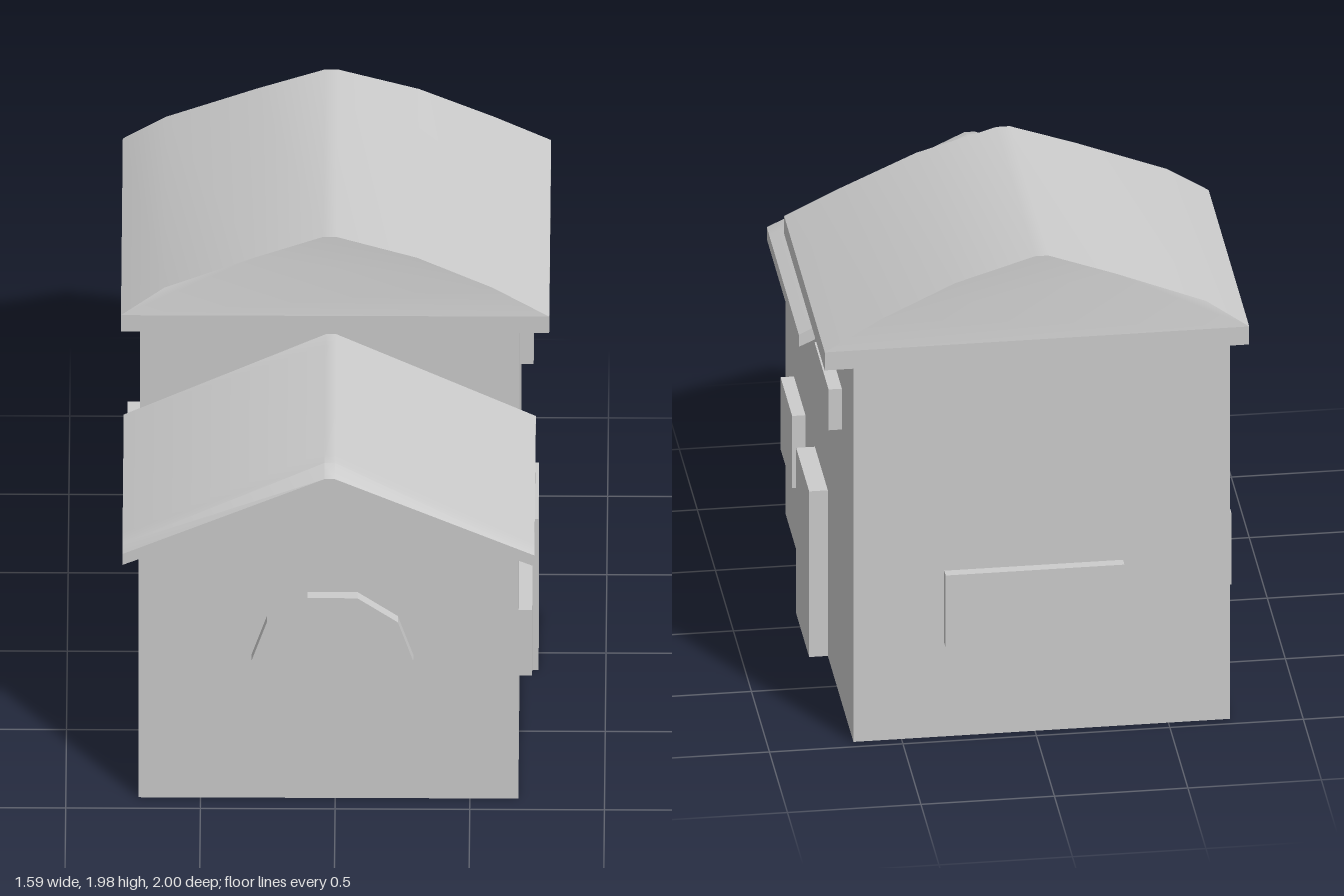
import * as THREE from 'three';
import { toCreasedNormals } from 'three/addons/utils/BufferGeometryUtils.js';

const material = new THREE.MeshStandardMaterial({ color: 0xcccccc });

export function createModel() {
  const house = new THREE.Group();
  house.name = 'house';

  const add = (name, geometry, parent = house) => {
    const mesh = new THREE.Mesh(geometry, material);
    mesh.name = name;
    parent.add(mesh);
    return mesh;
  };

  // Box given by its extents along each axis
  const box = (name, [x0, x1], [y0, y1], [z0, z1], parent) =>
    add(name, new THREE.BoxGeometry(x1 - x0, y1 - y0, z1 - z0), parent)
      .position.set((x0 + x1) / 2, (y0 + y1) / 2, (z0 + z1) / 2);

  // Outline in x and y, swept from z0 to z1; rule(v) may then move each vertex
  const sweep = (points, z0, z1, steps = 1, rule = null) => {
    const shape = new THREE.Shape(points.map(([x, y]) => new THREE.Vector2(x, y)));
    const geometry = new THREE.ExtrudeGeometry(shape, { depth: z1 - z0, steps, bevelEnabled: false });
    geometry.translate(0, 0, z0);
    if (rule) {
      const pos = geometry.attributes.position;
      const v = new THREE.Vector3();
      for (let i = 0; i < pos.count; i++) {
        rule(v.fromBufferAttribute(pos, i));
        pos.setXYZ(i, v.x, v.y, v.z);
      }
    }
    return toCreasedNormals(geometry, 0.5);
  };

  // Walls: tall rear block and lower gabled front wing
  box('rearWalls', [-0.73, 0.68], [0, 1.58], [-0.96, 0.11]);
  add('frontWalls', sweep(
    [[-0.73, 0], [0.68, 0], [0.68, 1.15], [0, 1.46], [-0.04, 1.46], [-0.73, 1.15]], 0.11, 0.93));

  // Rear roof: flat eave slab under a bowed cap whose gables lean inward
  const rearRoof = new THREE.Group();
  rearRoof.name = 'rearRoof';
  house.add(rearRoof);
  box('eaveSlab', [-0.8, 0.79], [1.565, 1.64], [-0.98, 0.147], rearRoof);
  add('roofCap', sweep(
    [[-0.8, 1.64], [0.79, 1.64], [0.58, 1.755], [0.3, 1.885], [0, 1.975],
      [-0.05, 1.975], [-0.3, 1.885], [-0.64, 1.75]],
    -0.98, 0.147, 1, (v) => {
      if (v.y < 1.7) return;
      const lean = 0.022 + 0.06 * (v.y - 1.75);
      v.z += v.z > 0 ? -lean : lean * 0.65;
    }), rearRoof);

  // Front roof: bent sheet whose ridge dips at the front edge
  add('frontRoof', sweep(
    [[-0.79, 1.11], [-0.04, 1.44], [0, 1.44], [0.74, 1.11],
      [0.74, 1.16], [0, 1.53], [-0.04, 1.53], [-0.79, 1.16]],
    0.11, 1, 13, (v) => {
      if (v.z > 0.99 && v.y > 1.5) v.y = 1.505;
    }));

  // Door and windows
  box('door', [0.66, 0.75], [0, 0.69], [-0.25, 0.11]);
  box('rightLowerWindow', [0.66, 0.73], [0.39, 0.69], [0.37, 0.69]);
  box('rightUpperWindow', [0.66, 0.73], [1.14, 1.31], [-0.64, -0.25]);
  box('leftWindow', [-0.78, -0.71], [0.39, 0.69], [-0.63, -0.25]);
  box('backWindow', [-0.33, 0.34], [0.39, 0.69], [-1, -0.94]);

  // Ten-sided round window on the front
  const round = new THREE.CylinderGeometry(0.3, 0.3, 0.07, 10).toNonIndexed();
  round.computeVertexNormals();
  round.rotateY(Math.PI / 2).rotateX(Math.PI / 2);
  add('roundWindow', round).position.set(-0.01, 0.655, 0.935);

  return house;
}
